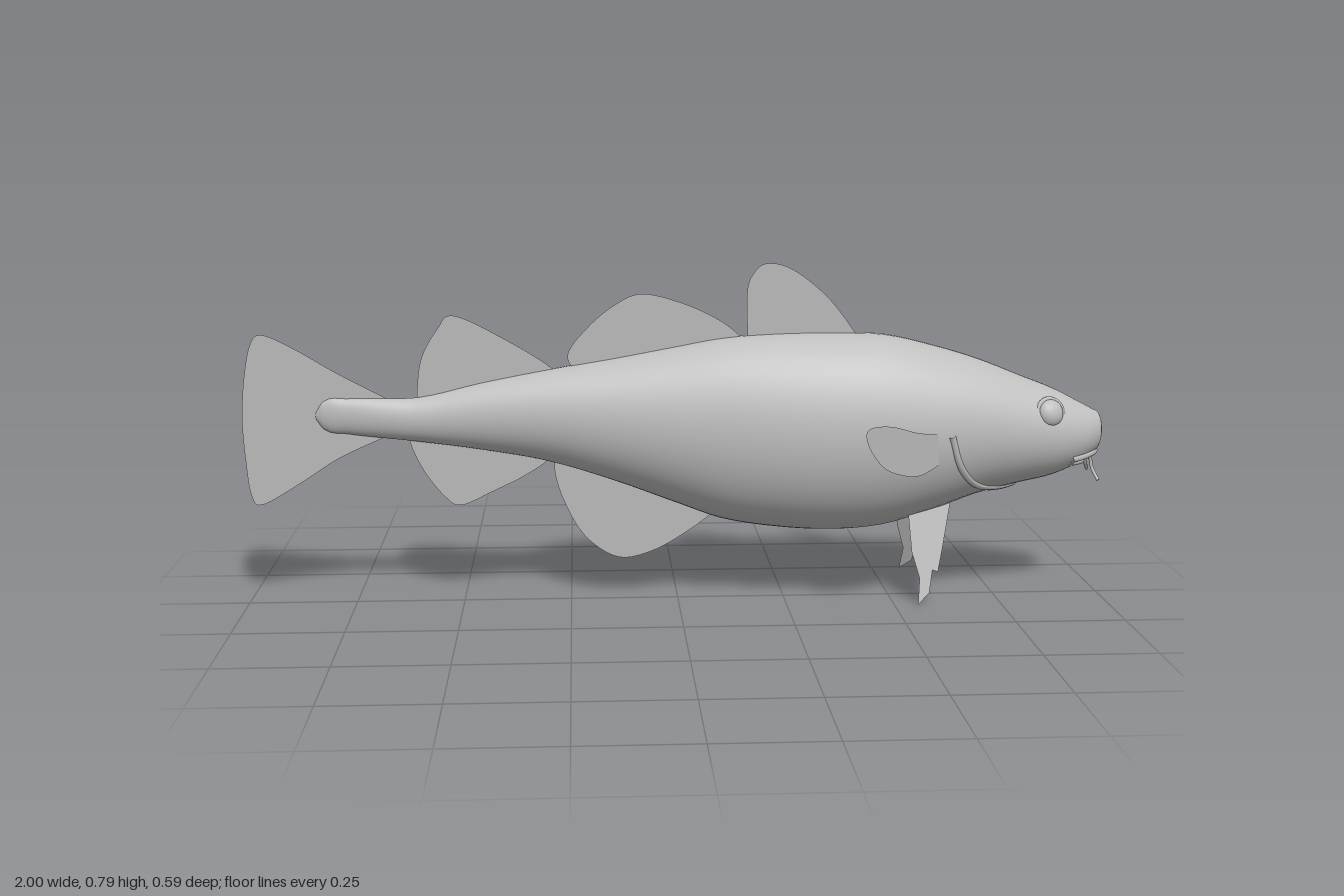
import * as THREE from 'three';

const V = (x, y, z) => new THREE.Vector3(x, y, z);
const skin = new THREE.MeshStandardMaterial({ color: 0xbfbfbf, side: THREE.DoubleSide });
skin.name = 'grey';

// Body stations from tail to snout: x, top y, bottom y, half width
const STATIONS = [
  [-0.832, 0.452, 0.438, 0.003], [-0.815, 0.478, 0.414, 0.011], [-0.76, 0.485, 0.402, 0.018],
  [-0.68, 0.485, 0.392, 0.027], [-0.6, 0.486, 0.383, 0.035], [-0.45, 0.52, 0.362, 0.056],
  [-0.3, 0.549, 0.334, 0.079], [-0.15, 0.574, 0.287, 0.103], [0, 0.602, 0.23, 0.126],
  [0.1, 0.62, 0.193, 0.14], [0.22, 0.629, 0.172, 0.154], [0.36, 0.631, 0.163, 0.163],
  [0.48, 0.626, 0.173, 0.163], [0.6, 0.598, 0.21, 0.152], [0.7, 0.567, 0.247, 0.135],
  [0.8, 0.527, 0.272, 0.115], [0.88, 0.495, 0.29, 0.094], [0.94, 0.464, 0.316, 0.07],
  [0.975, 0.445, 0.34, 0.047], [0.992, 0.432, 0.356, 0.028], [1, 0.404, 0.384, 0.006],
];
const spline = new THREE.CubicInterpolant(
  STATIONS.map(s => s[0]), STATIONS.flatMap(s => s.slice(1)), 3, new Float32Array(3));

// Point on the body surface at length x and angle a (0 = side, 90 degrees = top)
function onBody(x, a, scale = 1) {
  const [top, bottom, half] = spline.evaluate(x);
  return V(x, (top + bottom) / 2 + (top - bottom) / 2 * Math.sin(a) * scale,
    half * Math.cos(a) * scale);
}

function bodyGeometry() {
  const xs = [], SEG = 40, SUB = 4;
  for (let i = 0; i < STATIONS.length - 1; i++) {
    for (let k = 0; k < SUB; k++) {
      xs.push(THREE.MathUtils.lerp(STATIONS[i][0], STATIONS[i + 1][0], k / SUB));
    }
  }
  xs.push(1);
  const pos = [], idx = [];
  xs.forEach((x, i) => {
    for (let j = 0; j < SEG; j++) {
      pos.push(...onBody(x, j / SEG * Math.PI * 2).toArray());
      if (i === xs.length - 1) continue;
      const a = i * SEG + j, b = i * SEG + (j + 1) % SEG;
      idx.push(a, a + SEG, b, b, a + SEG, b + SEG);
    }
  });
  // End caps
  const last = (xs.length - 1) * SEG;
  for (let j = 1; j < SEG - 1; j++) idx.push(0, j, j + 1, last, last + j + 1, last + j);
  // Cap winding: tail faces -x, snout faces +x
  const g = new THREE.BufferGeometry();
  g.setAttribute('position', new THREE.Float32BufferAttribute(pos, 3));
  g.setIndex(idx);
  g.computeVertexNormals();
  return g;
}

// Thin membrane: outline curved through points, closed by a straight root
function finGeometry(points, place, smooth = true) {
  const shape = new THREE.Shape();
  shape.moveTo(...points[0]);
  const rest = points.slice(1).map(p => new THREE.Vector2(...p));
  if (smooth) shape.splineThru(rest);
  else rest.forEach(p => shape.lineTo(p.x, p.y));
  const g = new THREE.ShapeGeometry(shape, 6);
  if (place) {
    const p = g.attributes.position;
    for (let i = 0; i < p.count; i++) p.setXYZ(i, ...place(p.getX(i), p.getY(i)));
    g.computeVertexNormals();
  }
  return g;
}

const tube = (points, r) =>
  new THREE.TubeGeometry(new THREE.CatmullRomCurve3(points), 32, r, 8);

// Ridge that follows the body on both sides; rows of [x, degrees] from side to belly
function ridge(rows, r) {
  const half = rows.map(([x, d]) => onBody(x, THREE.MathUtils.degToRad(d), 0.98));
  const other = half.slice(0, -1).reverse().map(p => V(p.x, p.y, -p.z));
  return tube([...half, ...other], r);
}

const MIDLINE_FINS = {
  firstDorsalFin: [[0.42, 0.6], [0.41, 0.63], [0.345, 0.714], [0.265, 0.778], [0.206, 0.794],
    [0.174, 0.773], [0.158, 0.725], [0.162, 0.6]],
  secondDorsalFin: [[0.15, 0.6], [0.14, 0.628], [0.09, 0.666], [0.01, 0.703], [-0.08, 0.725],
    [-0.14, 0.703], [-0.205, 0.65], [-0.254, 0.582], [-0.22, 0.53]],
  thirdDorsalFin: [[-0.28, 0.52], [-0.29, 0.553], [-0.39, 0.618], [-0.51, 0.677],
    [-0.55, 0.645], [-0.59, 0.57], [-0.602, 0.46]],
  firstAnalFin: [[-0.26, 0.38], [-0.286, 0.33], [-0.275, 0.26], [-0.232, 0.168], [-0.18, 0.115],
    [-0.125, 0.093], [-0.056, 0.11], [0.01, 0.147], [0.075, 0.195], [0.1, 0.23]],
  secondAnalFin: [[-0.61, 0.42], [-0.62, 0.385], [-0.59, 0.313], [-0.543, 0.249],
    [-0.505, 0.227], [-0.43, 0.26], [-0.356, 0.297], [-0.3, 0.337], [-0.3, 0.37]],
  tailFin: [[-0.66, 0.48], [-0.78, 0.545], [-0.87, 0.6], [-0.944, 0.635], [-0.972, 0.615],
    [-0.99, 0.54], [-1, 0.44], [-0.997, 0.34], [-0.988, 0.255], [-0.962, 0.234],
    [-0.87, 0.287], [-0.78, 0.345], [-0.66, 0.4]],
};
const PECTORAL = [[0.13, 0.42], [0.19, 0.44], [0.245, 0.47], [0.285, 0.477], [0.293, 0.457],
  [0.278, 0.413], [0.247, 0.368], [0.19, 0.34], [0.14, 0.36]];
const PELVIC = [[0.645, 0.26], [0.617, 0.13], [0.605, 0.08], [0.592, 0.086], [0.583, 0.036],
  [0.555, 0.012], [0.56, 0.07], [0.542, 0.13], [0.535, 0.22]];

export function createModel() {
  const model = new THREE.Group();
  model.name = 'fish';
  // The whole fish leans slightly about its long axis
  const fish = new THREE.Group();
  fish.name = 'leaningFish';
  const PIVOT = 0.45;
  fish.position.y = PIVOT;
  fish.rotation.x = 0.075;
  model.add(fish);
  const add = (name, geometry, parent = fish) => {
    const m = new THREE.Mesh(geometry, skin);
    m.name = name;
    if (parent === fish) m.position.y = -PIVOT;
    parent.add(m);
    return m;
  };

  add('body', bodyGeometry());
  for (const [name, points] of Object.entries(MIDLINE_FINS)) add(name, finGeometry(points));

  // Gill cover edge and mouth
  add('gillEdge', ridge([[0.615, 5], [0.64, -20], [0.685, -45], [0.75, -70], [0.8, -90]], 0.009));
  add('upperLip', ridge([[0.915, -36], [0.945, -42], [0.97, -56], [0.984, -90]], 0.009));
  add('lowerLip', ridge([[0.915, -45], [0.935, -55], [0.95, -72], [0.957, -90]], 0.008));

  for (const side of [1, -1]) {
    const label = side > 0 ? 'left' : 'right';
    // Paired fins
    add(label + 'PectoralFin', finGeometry(PECTORAL,
      (z, y) => [0.58 - (z - 0.155) * 1.33, y, side * z]));
    add(label + 'PelvicFin', finGeometry(PELVIC,
      (x, y) => [x, y, side * (0.264 - 0.23 * x - 0.323 * y)], false));

    // Barbels under the chin
    add(label + 'Barbel', tube([V(0.95, 0.352, side * 0.034), V(0.968, 0.335, side * 0.028),
      V(0.974, 0.31, side * 0.032), V(0.985, 0.285, side * 0.05)], 0.004));

    // Eye with a raised rim
    const eye = new THREE.Group();
    eye.name = label + 'Eye';
    eye.position.set(0.855, 0.455 - PIVOT, side * 0.077);
    eye.lookAt(eye.position.clone().add(V(0.3, 0.3, side * 0.9)));
    const ball = add(label + 'Eyeball', new THREE.SphereGeometry(0.032, 24, 16), eye);
    ball.scale.z = 0.7;
    add(label + 'EyeRim', new THREE.TorusGeometry(0.033, 0.006, 8, 28), eye);
    fish.add(eye);
  }
  return model;
}
